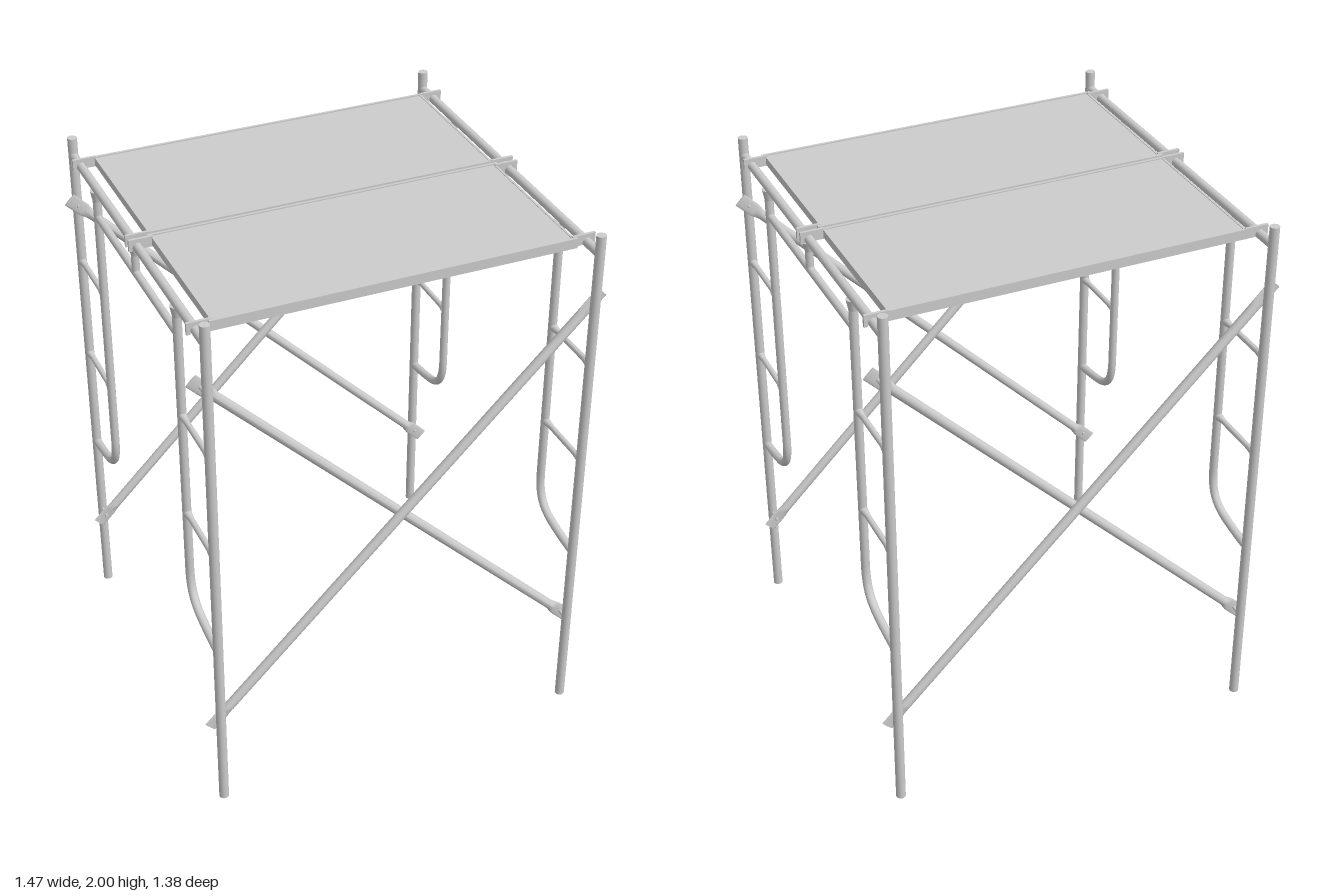
import * as THREE from 'three';

const material = new THREE.MeshStandardMaterial({ color: 0xcccccc });
const V = (x, y, z) => new THREE.Vector3(x, y, z);
const UP = V(0, 1, 0);
const POST_X = 0.685, POST_Z = 0.67, BEAM_Y = 1.93;

function add(parent, name, geometry) {
  const mesh = new THREE.Mesh(geometry, material);
  mesh.name = name;
  parent.add(mesh);
  return mesh;
}

// Round bar between two points, optionally tapered
function rod(parent, name, a, b, r, rEnd = r) {
  const mesh = add(parent, name, new THREE.CylinderGeometry(rEnd, r, a.distanceTo(b), 16));
  mesh.position.copy(a).add(b).multiplyScalar(0.5);
  mesh.quaternion.setFromUnitVectors(UP, b.clone().sub(a).normalize());
  return mesh;
}

function box(parent, name, w, h, d, x, y, z) {
  add(parent, name, new THREE.BoxGeometry(w, h, d)).position.set(x, y, z);
}

// End frame: two posts, header beams and the side ladders
function createEndFrame() {
  const frame = new THREE.Group();
  frame.name = 'endFrame';
  rod(frame, 'headerBeam', V(0, BEAM_Y, -POST_Z), V(0, BEAM_Y, POST_Z), 0.016);
  rod(frame, 'lowerBeam', V(0, 1.815, -0.41), V(0, 1.815, 0.41), 0.014);
  rod(frame, 'centreStrut', V(0, 1.815, 0), V(0, BEAM_Y, 0), 0.014);
  rod(frame, 'strutFlare', V(0, 1.885, 0), V(0, 1.92, 0), 0.014, 0.022);
  for (const s of [1, -1]) {
    rod(frame, 'post', V(0, 0, s * POST_Z), V(0, 2, s * POST_Z), 0.0175);
    // Inner upright that bends outwards into the post
    const path = new THREE.CurvePath();
    const p = [V(0, 1.92, s * 0.408), V(0, 0.86, s * 0.408), V(0, 0.715, s * 0.5), V(0, 0.688, s * POST_Z)];
    path.add(new THREE.LineCurve3(p[0], p[1]));
    path.add(new THREE.CubicBezierCurve3(p[1], V(0, 0.775, s * 0.408), V(0, 0.735, s * 0.435), p[2]));
    path.add(new THREE.QuadraticBezierCurve3(p[2], V(0, 0.695, s * 0.58), p[3]));
    add(frame, 'innerUpright', new THREE.TubeGeometry(path, 80, 0.0155, 14));
    rod(frame, 'uprightFlare', V(0, 1.88, s * 0.408), V(0, 1.92, s * 0.408), 0.0155, 0.023);
    for (const y of [1.1, 1.5]) {
      rod(frame, 'rung', V(0, y, s * 0.408), V(0, y, s * POST_Z), 0.0105);
      rod(frame, 'rungFlare', V(0, y, s * 0.45), V(0, y, s * 0.418), 0.0105, 0.015);
      rod(frame, 'rungFlare', V(0, y, s * 0.625), V(0, y, s * 0.66), 0.0105, 0.015);
    }
  }
  return frame;
}

// Diagonal tube whose ends are pressed flat
function createBrace(slope, z) {
  const brace = new THREE.Group();
  brace.name = 'diagonalBrace';
  const rows = [1.017, 0.945, 0.91, -0.91, -0.945, -1.017];
  const geometry = new THREE.CylinderGeometry(0.0175, 0.0175, 10, 16, 5);
  const pos = geometry.attributes.position;
  for (let i = 0; i < pos.count; i++) {
    const row = Math.round((5 - pos.getY(i)) / 2);
    pos.setY(i, rows[row]);
    if (Math.abs(rows[row]) > 0.92) {
      pos.setX(i, pos.getX(i) * 1.45);
      pos.setZ(i, pos.getZ(i) * 0.17);
    }
  }
  geometry.computeVertexNormals();
  const tube = add(brace, 'braceTube', geometry);
  tube.rotation.z = -slope * Math.PI / 4;
  tube.position.set(0, 1.05, z);
  // Pins that hang the brace on the posts
  for (const s of [1, -1]) {
    const y = 1.05 + s * slope * 0.688, side = Math.sign(z);
    rod(brace, 'bracePin', V(s * 0.688, y, z - side * 0.014), V(s * 0.688, y, side * POST_Z), 0.006);
  }
  return brace;
}

// Deck: panel on a shallow frame, with hooks over the header beams
function createDeck(z0, z1, hookZ) {
  const deck = new THREE.Group();
  deck.name = 'deck';
  const mid = (z0 + z1) / 2, depth = z1 - z0;
  box(deck, 'panel', 1.262, 0.008, depth - 0.004, 0, 1.95, mid);
  for (const z of [z0 + 0.005, z1 - 0.005]) box(deck, 'sideRail', 1.27, 0.036, 0.01, 0, 1.94, z);
  for (const x of [-0.631, 0.631]) box(deck, 'endRail', 0.008, 0.03, depth, x, 1.941, mid);
  for (const x of [-0.21, 0.21]) box(deck, 'crossMember', 0.02, 0.022, depth - 0.01, x, 1.936, mid);
  // Hook plate with a half-round notch seated on the beam
  const shape = new THREE.Shape();
  shape.moveTo(0.63, 1.922);
  shape.lineTo(POST_X - 0.017, 1.922);
  shape.lineTo(POST_X - 0.017, BEAM_Y);
  shape.absarc(POST_X, BEAM_Y, 0.017, Math.PI, 0, true);
  shape.lineTo(POST_X + 0.017, 1.918);
  shape.lineTo(0.715, 1.918);
  shape.lineTo(0.715, 1.96);
  shape.lineTo(0.63, 1.96);
  const hook = new THREE.ExtrudeGeometry(shape, { depth: 0.01, bevelEnabled: false, curveSegments: 8 });
  hook.translate(0, 0, -0.005);
  hookZ.forEach((z, i) => {
    const edge = i ? z1 - 0.005 : z0 + 0.005;
    for (const s of [1, -1]) {
      const mesh = add(deck, 'hook', hook);
      mesh.position.z = z;
      if (s < 0) mesh.rotation.y = Math.PI;
      box(deck, 'hookBracket', 0.012, 0.036, Math.abs(edge - z) + 0.01, s * 0.638, 1.94, (edge + z) / 2);
    }
  });
  return deck;
}

export function createModel() {
  const model = new THREE.Group();
  model.name = 'scaffoldTower';
  for (const s of [1, -1]) {
    const frame = createEndFrame();
    frame.position.x = s * POST_X;
    model.add(frame);
  }
  model.add(createBrace(1, 0.65), createBrace(-1, 0.613));
  model.add(createBrace(1, -0.613), createBrace(-1, -0.65));
  model.add(createDeck(0.012, 0.596, [0.03, 0.58]));
  model.add(createDeck(-0.585, 0.001, [-0.58, -0.004]));
  return model;
}
